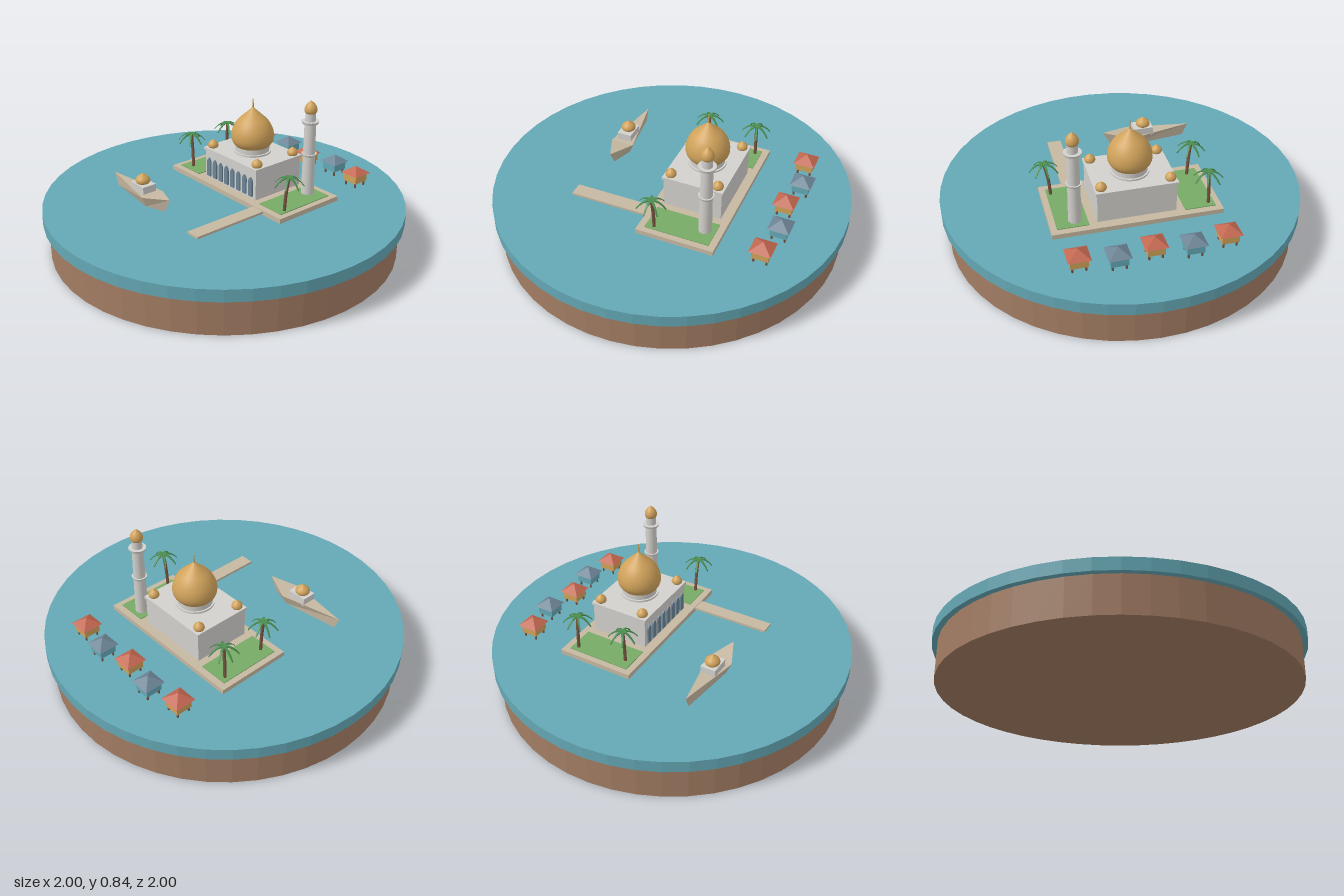
import * as THREE from 'three';

const material = (name, color, flat = false) => {
  const m = new THREE.MeshStandardMaterial({ color, flatShading: flat });
  m.name = name;
  return m;
};

export function createModel() {
  const water = material('lagoon teal', 0x64a8b5, true);
  const earth = material('earth brown', 0xa37d63, true);
  const sand = material('sandstone', 0xc6b8a1, true);
  const stone = material('pale stone', 0xd2d0cc);
  const gold = material('gold', 0xd0a25a);
  const grass = material('grass green', 0x76aa66);
  const red = material('roof red', 0xc1664f, true);
  const slate = material('slate blue', 0x6c8495, true);
  const leaf = material('palm green', 0x4b8c4f, true);
  const wood = material('dark wood', 0x7a5540);

  const model = new THREE.Group();
  const group = (name, parent, x = 0, y = 0, z = 0, ry = 0) => {
    const g = new THREE.Group();
    g.name = name;
    g.position.set(x, y, z);
    g.rotation.y = ry;
    parent.add(g);
    return g;
  };
  const add = (name, parent, geometry, mat, x = 0, y = 0, z = 0) => {
    const mesh = new THREE.Mesh(geometry, mat);
    mesh.name = name;
    mesh.position.set(x, y, z);
    parent.add(mesh);
    return mesh;
  };
  // Box and cylinder placed by their bottom height
  const box = (name, parent, mat, w, h, d, x, y, z) =>
    add(name, parent, new THREE.BoxGeometry(w, h, d), mat, x, y + h / 2, z);
  const cyl = (name, parent, mat, rTop, rBottom, h, x, y, z, n = 24) =>
    add(name, parent, new THREE.CylinderGeometry(rTop, rBottom, h, n), mat, x, y + h / 2, z);
  // Onion dome with radius r and height h
  const onion = (name, parent, r, h, x, y, z) => {
    const curve = new THREE.SplineCurve([
      [0.78, 0], [0.94, 0.11], [1, 0.25], [0.94, 0.44], [0.73, 0.64],
      [0.42, 0.8], [0.19, 0.91], [0, 1],
    ].map(([a, b]) => new THREE.Vector2(a * r, b * h)));
    const points = curve.getPoints(20).map((p) => new THREE.Vector2(Math.max(p.x, 0), p.y));
    return add(name, parent, new THREE.LatheGeometry(points, 28), gold, x, y, z);
  };

  // Round base and water
  cyl('earthBase', model, earth, 0.97, 0.97, 0.2, 0, 0, 0, 48);
  cyl('waterDisc', model, water, 1, 1, 0.067, 0, 0.2, 0, 48);

  const TURN = -0.35, SEA = 0.267;
  const island = group('island', model, 0.072, 0, -0.196, TURN);

  // Terrace, lawns and pier
  box('terrace', island, sand, 0.927, 0.027, 0.435, 0, SEA, 0);
  for (const s of [-1, 1]) box('lawn', island, grass, 0.17, 0.005, 0.36, s * 0.345, 0.293, 0);
  box('pier', island, sand, 0.08, 0.013, 0.445, 0.293, 0.277, 0.44);

  // Prayer hall
  const hall = group('prayerHall', island);
  box('walls', hall, stone, 0.428, 0.168, 0.33, 0, 0.294, 0);
  box('roofSlab', hall, stone, 0.442, 0.015, 0.344, 0, 0.461, 0);

  // Row of arched windows along the front
  const arch = new THREE.Shape();
  arch.moveTo(-0.015, 0);
  arch.lineTo(0.015, 0);
  arch.lineTo(0.015, 0.085);
  arch.quadraticCurveTo(0.014, 0.1, 0, 0.112);
  arch.quadraticCurveTo(-0.014, 0.1, -0.015, 0.085);
  const archGeometry = new THREE.ExtrudeGeometry(arch, { depth: 0.009, bevelEnabled: false, curveSegments: 5 });
  for (let i = 0; i < 8; i++) {
    add('archWindow', hall, archGeometry, slate, (i - 3.5) * 0.0505, 0.31, 0.1655);
  }

  // Main dome on its drum, with four small domes
  cyl('drum', hall, stone, 0.095, 0.095, 0.045, 0, 0.474, 0, 32);
  cyl('drumFoot', hall, stone, 0.105, 0.105, 0.012, 0, 0.474, 0, 32);
  onion('mainDome', hall, 0.12, 0.225, 0, 0.513, 0);
  cyl('finial', hall, gold, 0.003, 0.005, 0.06, 0, 0.725, 0, 8);
  for (const x of [-0.186, 0.186]) {
    for (const z of [-0.133, 0.133]) onion('cornerDome', hall, 0.03, 0.05, x, 0.475, z);
  }

  // Minaret
  const minaret = group('minaret', island, 0.325, 0, -0.121);
  cyl('shaft', minaret, stone, 0.031, 0.036, 0.42, 0, 0.294, 0);
  cyl('lowerRing', minaret, stone, 0.042, 0.038, 0.013, 0, 0.52, 0);
  cyl('balcony', minaret, stone, 0.048, 0.044, 0.014, 0, 0.706, 0);
  cyl('lantern', minaret, stone, 0.028, 0.028, 0.05, 0, 0.718, 0);
  onion('minaretCap', minaret, 0.035, 0.073, 0, 0.763, 0);

  // Palms with leaning trunks and drooping fronds
  const frond = new THREE.BoxGeometry(0.08, 0.005, 0.016, 4, 1, 1).translate(0.04, 0, 0);
  const p = frond.attributes.position;
  for (let i = 0; i < p.count; i++) {
    const t = p.getX(i) / 0.08;
    p.setY(i, p.getY(i) + 0.022 * t - 0.065 * t * t);
    p.setZ(i, p.getZ(i) * (1 - 0.55 * t));
  }
  frond.computeVertexNormals();
  const palms = [[-0.389, -0.146, -0.01, 0.3], [-0.383, 0.136, 0.015, 1], [0.435, 0.134, -0.028, 1.7]];
  for (const [x, z, lean, turn] of palms) {
    const palm = group('palm', island, x, 0, z);
    const trunk = new THREE.CatmullRomCurve3([
      new THREE.Vector3(lean, 0.29, 0),
      new THREE.Vector3(lean * 0.65, 0.4, 0),
      new THREE.Vector3(0, 0.495, 0),
    ]);
    add('palmTrunk', palm, new THREE.TubeGeometry(trunk, 6, 0.009, 7), wood);
    for (let i = 0; i < 7; i++) {
      add('palmFrond', palm, frond, leaf, 0, 0.497, 0).rotation.y = turn + (i * Math.PI * 2) / 7;
    }
  }

  // Stilt houses behind the island, in two colour schemes
  for (let i = 0; i < 5; i++) {
    const odd = i % 2;
    const house = group('stiltHouse', island, -0.397 + i * 0.194, 0, odd ? -0.486 : -0.452);
    for (const x of [-0.035, 0.035]) {
      for (const z of [-0.035, 0.035]) cyl('stilt', house, wood, 0.006, 0.006, 0.035, x, SEA - 0.005, z, 6);
    }
    box('houseBody', house, odd ? water : gold, 0.092, 0.05, 0.092, 0, 0.294, 0);
    const roof = new THREE.ConeGeometry(0.118 / Math.SQRT2, 0.04, 4).rotateY(Math.PI / 4);
    add('houseRoof', house, roof, odd ? slate : red, 0, 0.362, 0);
  }

  // Boat: flared hull from a deck loop and a keel loop
  const boat = group('boat', model, -0.353, 0, 0.277, TURN);
  const deck = [[-0.28, 0.338, 0], [0.088, 0.328, 0.068], [0.245, 0.35, 0], [0.088, 0.328, -0.068]];
  const keel = [[-0.25, SEA, 0], [0.08, SEA, 0.042], [0.2, SEA, 0], [0.08, SEA, -0.042]];
  const faces = [deck[0], deck[1], deck[3], deck[1], deck[2], deck[3],
    keel[0], keel[3], keel[1], keel[1], keel[3], keel[2]];
  for (let i = 0; i < 4; i++) {
    const j = (i + 1) % 4;
    faces.push(keel[i], keel[j], deck[j], keel[i], deck[j], deck[i]);
  }
  const hull = new THREE.BufferGeometry();
  hull.setAttribute('position', new THREE.Float32BufferAttribute(faces.flat(), 3));
  hull.computeVertexNormals();
  add('hull', boat, hull, sand);
  box('cabin', boat, stone, 0.115, 0.048, 0.085, 0.005, 0.322, 0);
  onion('cabinDome', boat, 0.041, 0.058, 0, 0.368, 0);

  return model;
}
